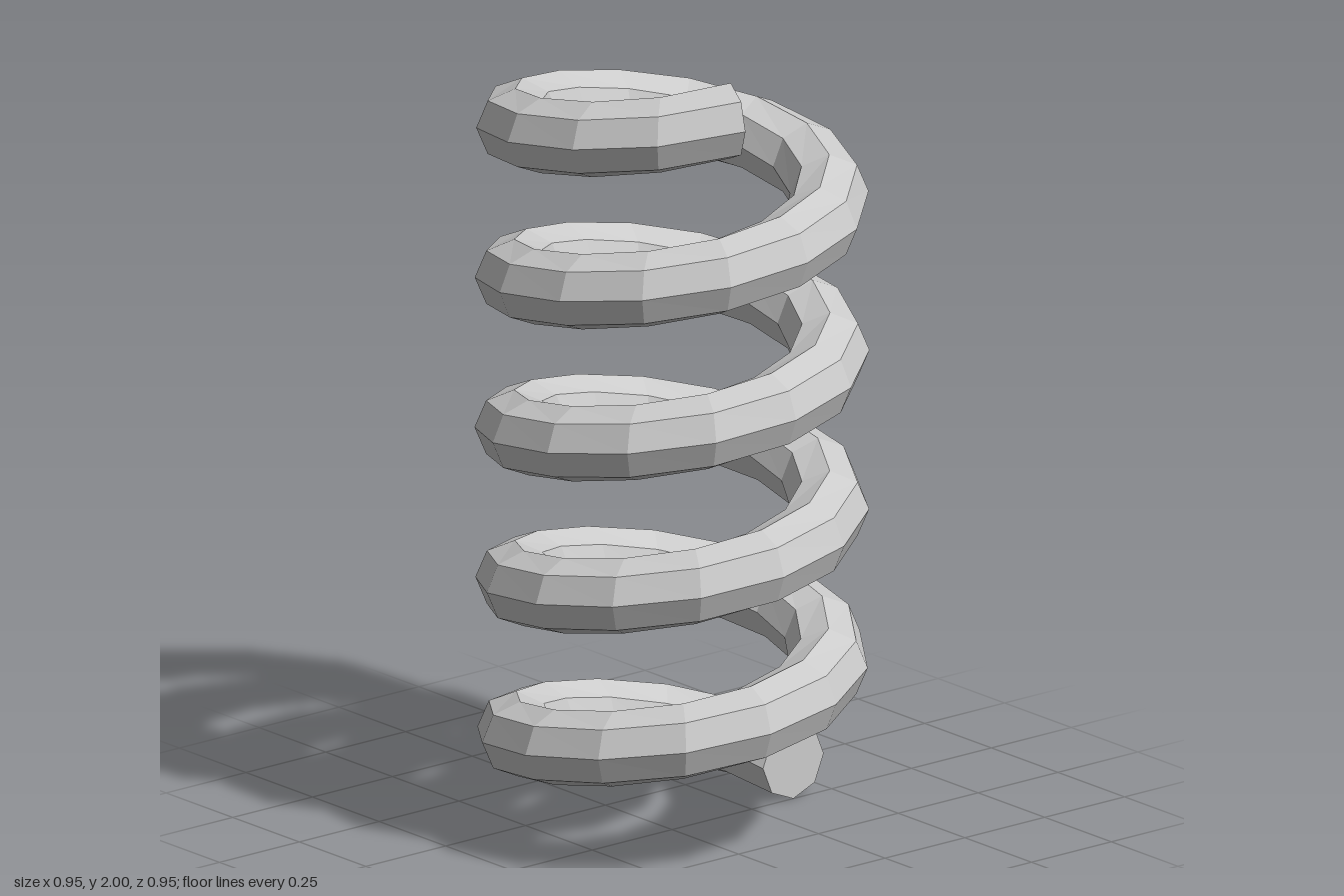
import * as THREE from 'three';

const TURNS = 4.7;        // full coil revolutions
const STEPS = 65;         // sections along the wire
const SIDES = 8;          // octagonal wire
const COIL_RADIUS = 0.38;
const WIRE_RADIUS = 0.095;
const RISE = 2 - 2 * WIRE_RADIUS;

// Sweep an upright octagon along a rising helix, closed by a flat cap at each end
function coilGeometry() {
  const positions = [];
  const indices = [];
  const addPoint = (turn, radius, y) =>
    positions.push(radius * Math.cos(turn), y, -radius * Math.sin(turn));

  for (let i = 0; i <= STEPS; i++) {
    const turn = (i / STEPS) * TURNS * Math.PI * 2;
    const y = WIRE_RADIUS + (i / STEPS) * RISE;
    for (let j = 0; j < SIDES; j++) {
      const a = (j / SIDES) * Math.PI * 2;
      addPoint(turn, COIL_RADIUS + WIRE_RADIUS * Math.cos(a), y + WIRE_RADIUS * Math.sin(a));
    }
  }

  // Wire surface
  for (let i = 0; i < STEPS; i++) {
    for (let j = 0; j < SIDES; j++) {
      const k = (j + 1) % SIDES;
      const a = i * SIDES + j, b = i * SIDES + k;
      const c = a + SIDES, d = b + SIDES;
      indices.push(a, c, b, b, c, d);
    }
  }

  // End caps
  const last = STEPS * SIDES;
  for (let j = 1; j < SIDES - 1; j++) {
    indices.push(0, j, j + 1);
    indices.push(last, last + j + 1, last + j);
  }

  const indexed = new THREE.BufferGeometry();
  indexed.setAttribute('position', new THREE.Float32BufferAttribute(positions, 3));
  indexed.setIndex(indices);
  const geometry = indexed.toNonIndexed();
  geometry.computeVertexNormals();
  return geometry;
}

export function createModel() {
  const group = new THREE.Group();
  group.name = 'coilSpring';
  const material = new THREE.MeshStandardMaterial({ color: 0xcccccc, flatShading: true });
  const coil = new THREE.Mesh(coilGeometry(), material);
  coil.name = 'coil';
  group.add(coil);
  return group;
}
